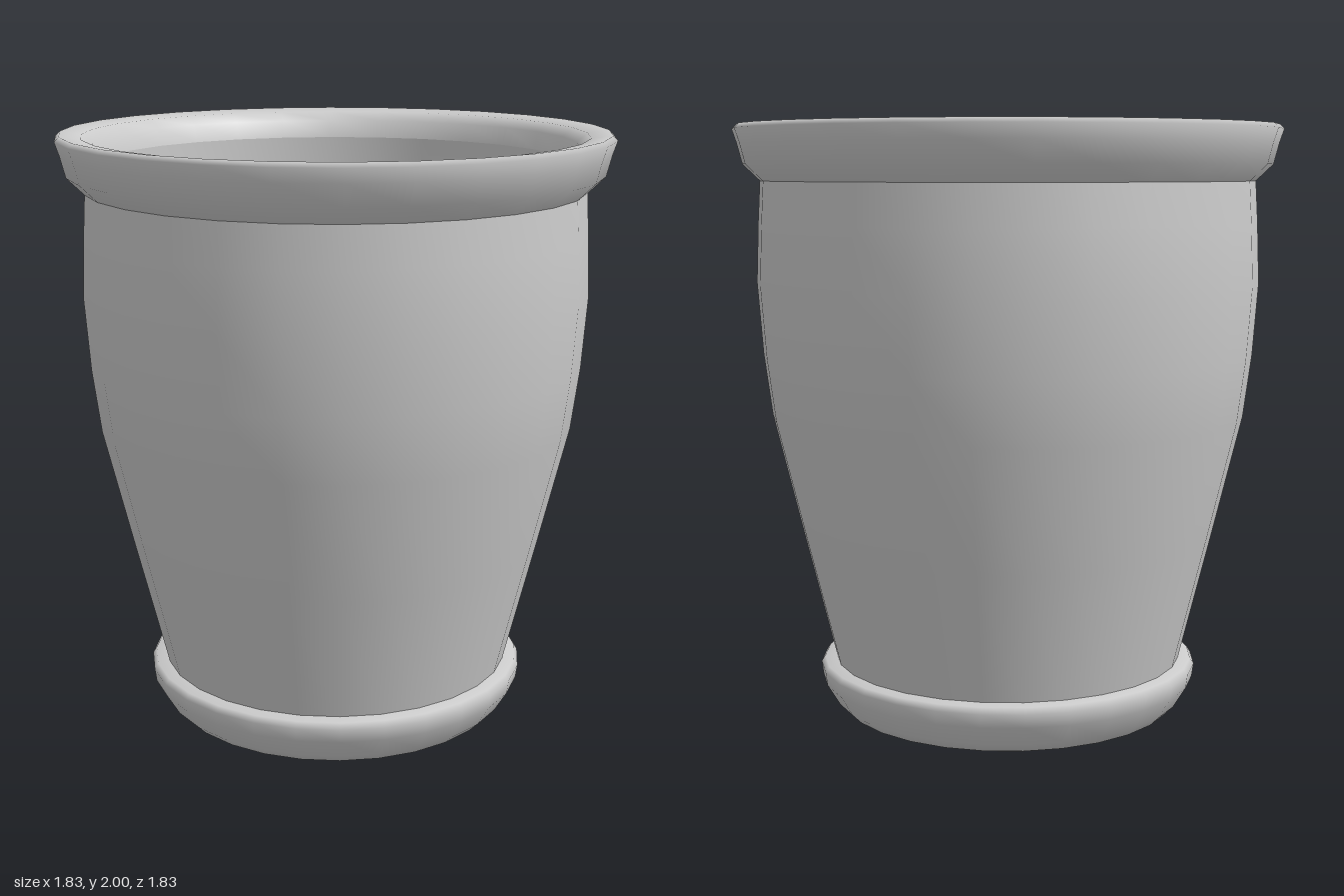
import * as THREE from 'three';

const SIDES = 28;
const material = new THREE.MeshStandardMaterial({ color: 0xcccccc, side: THREE.DoubleSide });

// Turned part from [radius, height] pairs, outer skin listed upward
function turned(name, profile) {
  const points = profile.map(([r, y]) => new THREE.Vector2(r, y));
  const mesh = new THREE.Mesh(new THREE.LatheGeometry(points, SIDES), material);
  mesh.name = name;
  return mesh;
}

export function createModel() {
  const group = new THREE.Group();
  group.name = 'flowerPot';

  // Rounded foot on which the pot stands
  group.add(turned('base', [
    [0.53, 0.005], [0.57, 0.02], [0.6, 0.05], [0.642, 0.12], [0.648, 0.165], [0.635, 0.185], [0.57, 0.19],
  ]));
  group.add(turned('underside', [[0, 0], [0.53, 0.005]]));

  // Bulging outer wall
  group.add(turned('body', [
    [0.59, 0.17], [0.7, 0.62], [0.798, 1.03], [0.825, 1.24], [0.842, 1.48], [0.834, 1.68], [0.825, 1.83],
  ]));

  // Flared lip, rolling over into the opening
  group.add(turned('rim', [
    [0.82, 1.81], [0.882, 1.87], [0.9, 1.94], [0.915, 1.985], [0.9, 2], [0.83, 1.99], [0.795, 1.96], [0.78, 1.9],
  ]));

  // Hollow inside with a rounded floor corner
  group.add(turned('interior', [
    [0.78, 1.9], [0.79, 1.48], [0.75, 1.03], [0.65, 0.62], [0.56, 0.26], [0.5, 0.2], [0, 0.19],
  ]));

  return group;
}
